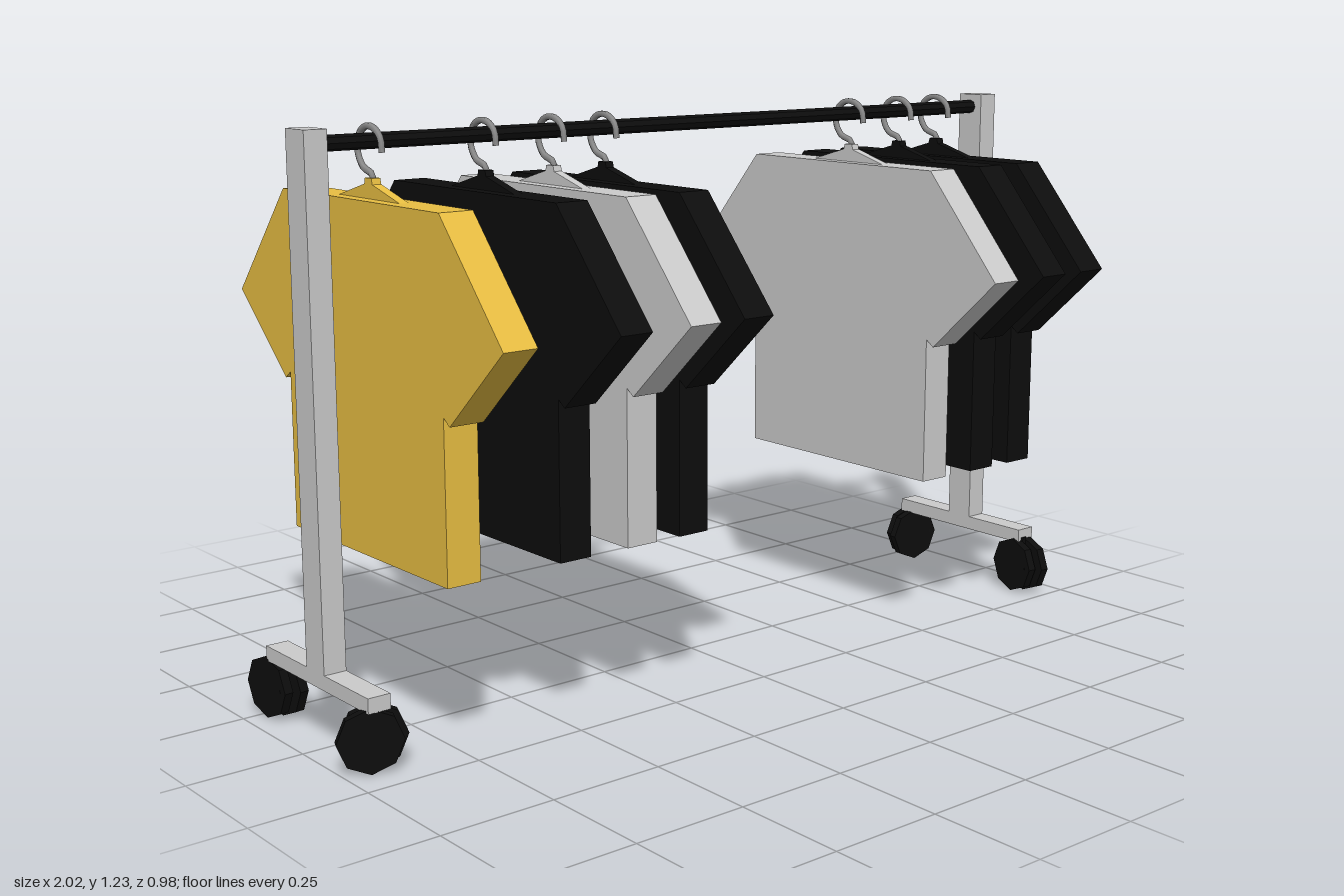
import * as THREE from 'three';

const mat = (color, flatShading = true) => new THREE.MeshStandardMaterial({ color, flatShading });
const GREY = mat(0xcccccc);
const BLACK = mat(0x0d0d0d);
const YELLOW = mat(0xe8be42);
const METAL = mat(0x8a8a8a, false);
const RAIL_Y = 1.2;
const RAIL_Z = -0.015;

function add(parent, name, geometry, material, x = 0, y = 0, z = 0) {
  const mesh = new THREE.Mesh(geometry, material);
  mesh.name = name;
  mesh.position.set(x, y, z);
  parent.add(mesh);
  return mesh;
}

// Symmetrical outline given as [z, y] points of one half, extruded along x
function slab(half, thickness) {
  const mirrored = half.filter(([z]) => z > 0).reverse().map(([z, y]) => [-z, y]);
  const shape = new THREE.Shape([...half, ...mirrored].map(([z, y]) => new THREE.Vector2(z, y)));
  const geo = new THREE.ExtrudeGeometry(shape, { depth: thickness, bevelEnabled: false });
  geo.translate(0, 0, -thickness / 2);
  return geo.rotateY(-Math.PI / 2);
}

const shirtGeo = slab([
  [0.29, 0.38], [0.29, 0.71], [0.31, 0.695], [0.49, 0.86], [0.29, 1.09],
], 0.075);
const hangerGeo = slab([[0.13, 1.085], [0.015, 1.118], [0.012, 1.13]], 0.02);

// Hook curls over the rail and drops to the hanger
const hookPoints = [
  [0, 1.11], [0, 1.135], [-0.035, 1.15], [-0.053, 1.18], [-0.045, 1.212],
  [-0.02, 1.228], [0.01, 1.226], [0.033, 1.208], [0.038, 1.18],
].map(([z, y]) => new THREE.Vector3(0, y, z));
const hookGeo = new THREE.TubeGeometry(new THREE.CatmullRomCurve3(hookPoints), 24, 0.007, 6);

function garment(x, material) {
  const g = new THREE.Group();
  g.name = 'hangingShirt';
  add(g, 'shirt', shirtGeo, material);
  add(g, 'hanger', hangerGeo, material);
  add(g, 'hook', hookGeo, METAL);
  g.position.x = x;
  return g;
}

// Twin-wheel caster turned about its stem
function caster(x, z, degrees) {
  const g = new THREE.Group();
  g.name = 'caster';
  for (const s of [-1, 1]) {
    const wheel = new THREE.CylinderGeometry(0.067, 0.067, 0.02, 8).rotateX(Math.PI / 8).rotateZ(Math.PI / 2);
    add(g, 'wheel', wheel, BLACK, s * 0.016, 0.07);
  }
  add(g, 'axle', new THREE.CylinderGeometry(0.05, 0.05, 0.014, 8).rotateZ(Math.PI / 2), BLACK, 0, 0.07);
  add(g, 'stem', new THREE.CylinderGeometry(0.012, 0.012, 0.06, 8), BLACK, 0, 0.11);
  g.position.set(x, 0, z);
  g.rotation.y = THREE.MathUtils.degToRad(degrees);
  return g;
}

export function createModel() {
  const model = new THREE.Group();
  model.name = 'clothesRack';

  // Upright posts and their feet
  for (const s of [-1, 1]) {
    add(model, 'post', new THREE.BoxGeometry(0.05, 1.08, 0.07), GREY, s * 0.932, 0.69, RAIL_Z);
    add(model, 'foot', new THREE.BoxGeometry(0.05, 0.032, 0.405), GREY, s * 0.932, 0.145, -0.016);
  }

  // Rail between the posts
  const rail = new THREE.CylinderGeometry(0.016, 0.016, 1.83, 8).rotateZ(Math.PI / 2);
  add(model, 'rail', rail, BLACK, 0, RAIL_Y, RAIL_Z);

  // Casters, each swivelled differently
  for (const [x, z, a] of [
    [-0.935, 0.16, 45], [-0.933, -0.22, -16], [0.925, 0.18, -30], [0.93, -0.205, 60],
  ]) model.add(caster(x, z, a));

  // Shirts along the rail
  for (const [x, material] of [
    [-0.8, YELLOW], [-0.538, BLACK], [-0.37, GREY], [-0.235, BLACK],
    [0.486, GREY], [0.644, BLACK], [0.772, BLACK],
  ]) model.add(garment(x, material));

  return model;
}
